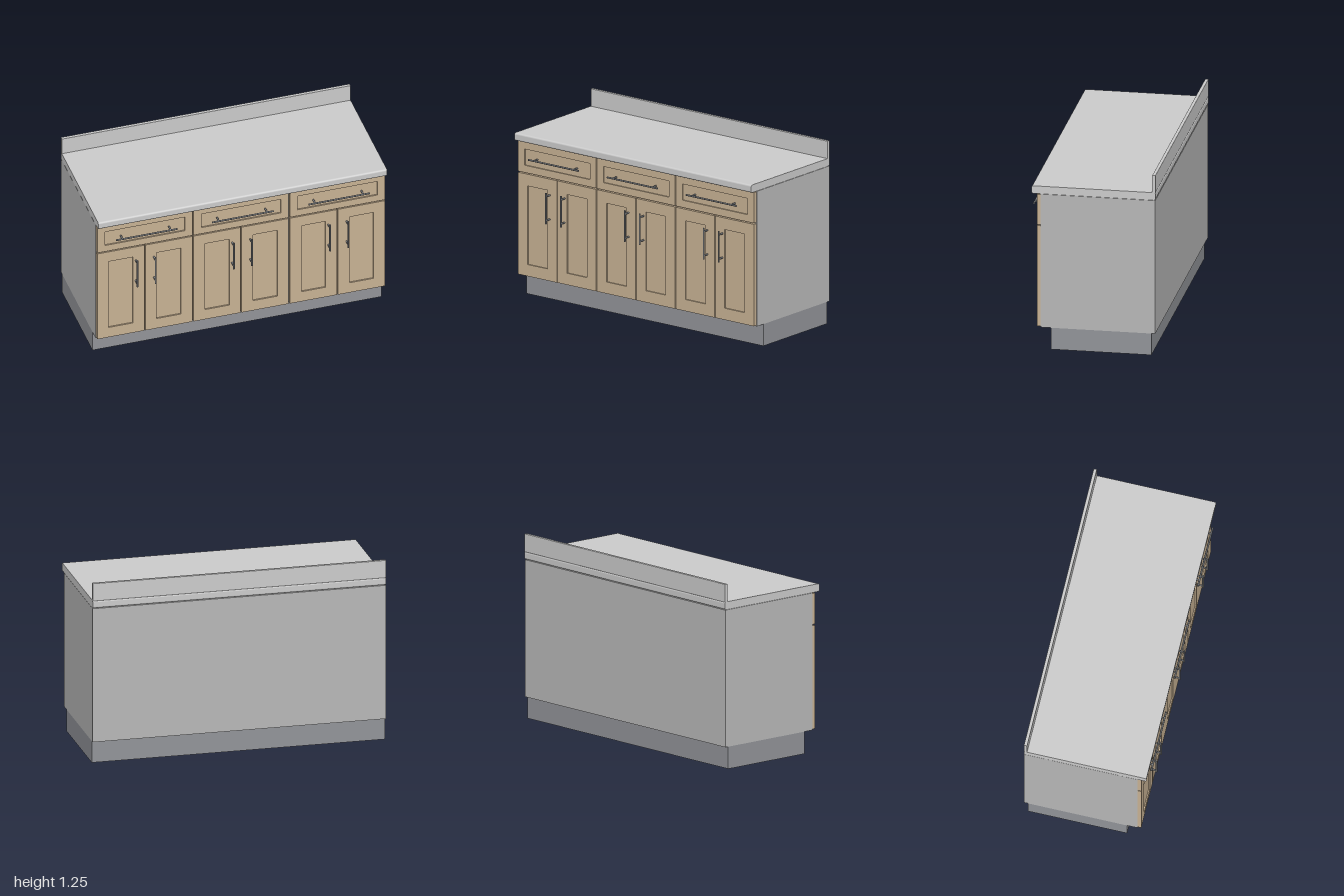
import * as THREE from 'three';

const material = (color) => new THREE.MeshStandardMaterial({ color });

export function createModel() {
  const model = new THREE.Group();
  model.name = 'baseCabinet';

  const wood = material(0xc8b294);
  const stone = material(0xdcdcd8);
  const body = material(0xb8b8b8);
  const kick = material(0x929499);
  const metal = material(0x85888c);

  function add(parent, name, geometry, mat, x = 0, y = 0, z = 0) {
    const mesh = new THREE.Mesh(geometry, mat);
    mesh.name = name;
    mesh.position.set(x, y, z);
    parent.add(mesh);
    return mesh;
  }

  // Box given by its limits on each axis
  function block(parent, name, mat, x0, x1, y0, y1, z0, z1) {
    return add(parent, name, new THREE.BoxGeometry(x1 - x0, y1 - y0, z1 - z0), mat,
      (x0 + x1) / 2, (y0 + y1) / 2, (z0 + z1) / 2);
  }

  // Full-width slab with a rounded profile, extruded along x
  function slab(name, mat, y0, y1, z0, z1, r) {
    const s = new THREE.Shape();
    // Shape x runs towards -z so that the extrusion runs towards +x
    const a = -z1, b = -z0;
    s.moveTo(a + r, y0);
    s.lineTo(b - r, y0);
    s.absarc(b - r, y0 + r, r, -Math.PI / 2, 0);
    s.absarc(b - r, y1 - r, r, 0, Math.PI / 2);
    s.absarc(a + r, y1 - r, r, Math.PI / 2, Math.PI);
    s.absarc(a + r, y0 + r, r, Math.PI, Math.PI * 1.5);
    const g = new THREE.ExtrudeGeometry(s, { depth: 2, bevelEnabled: false, curveSegments: 6 });
    g.rotateY(Math.PI / 2);
    return add(model, name, g, mat, -1, 0, 0);
  }

  // Plinth, carcass, worktop and upstand
  block(model, 'plinth', kick, -1, 1, 0, 0.15, -0.395, 0.28);
  block(model, 'carcass', body, -1, 1, 0.15, 1.08, -0.42, 0.35);
  slab('worktop', stone, 1.082, 1.135, -0.422, 0.41, 0.012);
  slab('backsplash', stone, 1.133, 1.255, -0.422, -0.4, 0.002);

  // Framed front with a recessed centre panel
  function framedFront(name, x0, x1, y0, y1, mx, my) {
    const front = new THREE.Group();
    front.name = name;
    const rect = (Type, l, r, b, t) => new Type([
      new THREE.Vector2(l, b), new THREE.Vector2(r, b),
      new THREE.Vector2(r, t), new THREE.Vector2(l, t)]);
    const shape = rect(THREE.Shape, x0, x1, y0, y1);
    shape.holes.push(rect(THREE.Path, x0 + mx, x1 - mx, y0 + my, y1 - my));
    add(front, 'frame', new THREE.ExtrudeGeometry(shape, { depth: 0.025, bevelEnabled: false }),
      wood, 0, 0, 0.35);
    block(front, 'panel', wood, x0 + mx, x1 - mx, y0 + my, y1 - my, 0.35, 0.366);
    model.add(front);
    return front;
  }

  // Bar pull on two posts; built along x, turned upright for doors
  function handle(parent, x, y, length, inset, upright) {
    const pull = new THREE.Group();
    pull.name = 'handle';
    const bar = new THREE.CylinderGeometry(0.006, 0.006, length, 16).rotateZ(Math.PI / 2);
    add(pull, 'bar', bar, metal, 0, 0, 0.415);
    for (const side of [-1, 1]) {
      const post = new THREE.CylinderGeometry(0.006, 0.006, 0.042, 12).rotateX(Math.PI / 2);
      add(pull, 'post', post, metal, side * (length / 2 - inset), 0, 0.394);
    }
    pull.position.set(x, y, 0);
    if (upright) pull.rotation.z = Math.PI / 2;
    parent.add(pull);
  }

  // Three bays, each with a drawer above a pair of doors
  const bay = 2 / 3, gap = 0.004;
  for (let i = -1; i <= 1; i++) {
    const cx = i * bay;
    const half = bay / 2 - gap;
    const drawer = framedFront('drawer', cx - half, cx + half, 0.865, 1.076, 0.053, 0.05);
    handle(drawer, cx, 0.972, 0.424, 0.045, false);
    for (const side of [-1, 1]) {
      const inner = cx + side * 0.003, outer = cx + side * half;
      const door = framedFront('door', Math.min(inner, outer), Math.max(inner, outer),
        0.156, 0.857, 0.079, 0.08);
      handle(door, cx + side * 0.063, 0.664, 0.214, 0.024, true);
    }
  }

  return model;
}
